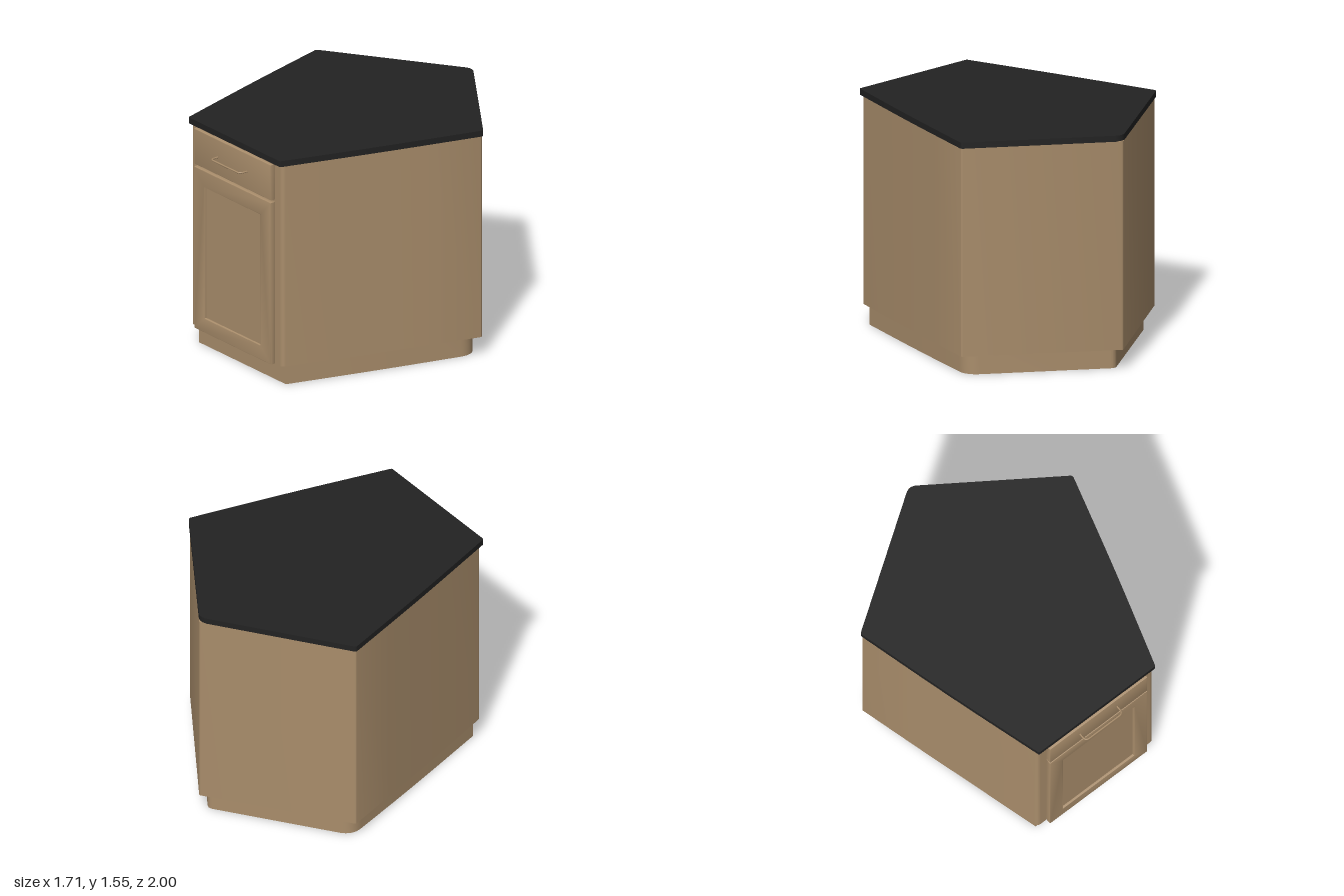
import * as THREE from 'three';
import { toCreasedNormals } from 'three/addons/utils/BufferGeometryUtils.js';

// Closed plan outline; each point is [x, z, corner radius], corners are rounded
function planShape(points) {
  const shape = new THREE.Shape();
  const n = points.length;
  const vec = (p) => new THREE.Vector2(p[0], -p[1]);
  points.forEach((p, i) => {
    const c = vec(p), r = p[2] || 0;
    const toward = (q) => c.clone().add(vec(q).sub(c).setLength(r));
    const a = r ? toward(points[(i + n - 1) % n]) : c;
    const b = r ? toward(points[(i + 1) % n]) : c;
    if (i === 0) shape.moveTo(a.x, a.y); else shape.lineTo(a.x, a.y);
    if (r) shape.quadraticCurveTo(c.x, c.y, b.x, b.y);
  });
  shape.closePath();
  return shape;
}

// Upright prism from y0 to y1 over a plan outline
function prism(points, y0, y1) {
  const geo = new THREE.ExtrudeGeometry(planShape(points), { depth: y1 - y0, bevelEnabled: false, curveSegments: 8 });
  geo.rotateX(-Math.PI / 2).translate(0, y0, 0);
  return toCreasedNormals(geo, 0.5);
}

// Five-sided corner plan, mirrored in x, with slightly bowed sides
function cornerPlan(frontX, frontZ, sideX, sideZ, backZ, rFront, rSide, rBack) {
  const bowX = (frontX + sideX) / 2 + 0.008, bowZ = (frontZ + sideZ) / 2;
  return [
    [-frontX, frontZ, rFront], [frontX, frontZ, rFront], [bowX, bowZ, 0.3],
    [sideX, sideZ, rSide], [0, backZ, rBack], [-sideX, sideZ, rSide], [-bowX, bowZ, 0.3],
  ];
}

function rect(path, x0, y0, x1, y1) {
  path.moveTo(x0, y0);
  path.lineTo(x1, y0);
  path.lineTo(x1, y1);
  path.lineTo(x0, y1);
  path.closePath();
  return path;
}

// Front panel with softened edges, optionally with an opening
function frontPanel(x, y0, y1, z0, z1, hole) {
  const b = 0.006;
  const shape = rect(new THREE.Shape(), -x + b, y0 + b, x - b, y1 - b);
  if (hole) shape.holes.push(rect(new THREE.Path(), ...hole));
  const geo = new THREE.ExtrudeGeometry(shape, {
    depth: z1 - z0 - 2 * b, bevelSize: b, bevelThickness: b, bevelSegments: 2,
  });
  return toCreasedNormals(geo.translate(0, 0, z0 + b), 0.6);
}

export function createModel() {
  const wood = new THREE.MeshStandardMaterial({ color: 0xa98d6b });
  wood.name = 'tan wood';
  const stone = new THREE.MeshStandardMaterial({ color: 0x222222 });
  stone.name = 'black countertop';

  const model = new THREE.Group();
  model.name = 'cornerCabinet';
  const add = (name, geo, mat, parent = model) => {
    const mesh = new THREE.Mesh(geo, mat);
    mesh.name = name;
    parent.add(mesh);
    return mesh;
  };

  // Carcass: recessed plinth, body and worktop
  add('toeKick', prism(cornerPlan(0.445, 0.855, 0.79, -0.385, -0.93, 0, 0.09, 0.03), 0, 0.14), wood);
  add('cabinetBody', prism(cornerPlan(0.465, 0.9, 0.85, -0.405, -1, 0.025, 0.01, 0.01), 0.135, 1.512), wood);
  add('countertop', prism(cornerPlan(0.47, 0.922, 0.858, -0.41, -1, 0.01, 0.015, 0.05), 1.51, 1.55), stone);

  // Door: frame around a recessed panel
  const door = new THREE.Group();
  door.name = 'door';
  model.add(door);
  add('doorFrame', frontPanel(0.393, 0.137, 1.243, 0.895, 0.937, [-0.293, 0.229, 0.293, 1.136]), wood, door);
  const panel = add('doorPanel', new THREE.BoxGeometry(0.62, 0.94, 0.03), wood, door);
  panel.position.set(0, 0.6825, 0.906);

  // Drawer front with a thin bent pull
  const drawer = new THREE.Group();
  drawer.name = 'drawer';
  model.add(drawer);
  add('drawerFront', frontPanel(0.393, 1.26, 1.502, 0.895, 0.937), wood, drawer);
  const pull = new THREE.CurvePath();
  const v = (x, z) => new THREE.Vector3(x, 1.382, z);
  const r = 0.03, hx = 0.15, hz = 0.994;
  pull.add(new THREE.LineCurve3(v(-hx, 0.93), v(-hx, hz - r)));
  pull.add(new THREE.QuadraticBezierCurve3(v(-hx, hz - r), v(-hx, hz), v(-hx + r, hz)));
  pull.add(new THREE.LineCurve3(v(-hx + r, hz), v(hx - r, hz)));
  pull.add(new THREE.QuadraticBezierCurve3(v(hx - r, hz), v(hx, hz), v(hx, hz - r)));
  pull.add(new THREE.LineCurve3(v(hx, hz - r), v(hx, 0.93)));
  add('drawerPull', new THREE.TubeGeometry(pull, 60, 0.006, 8, false), wood, drawer);

  return model;
}
